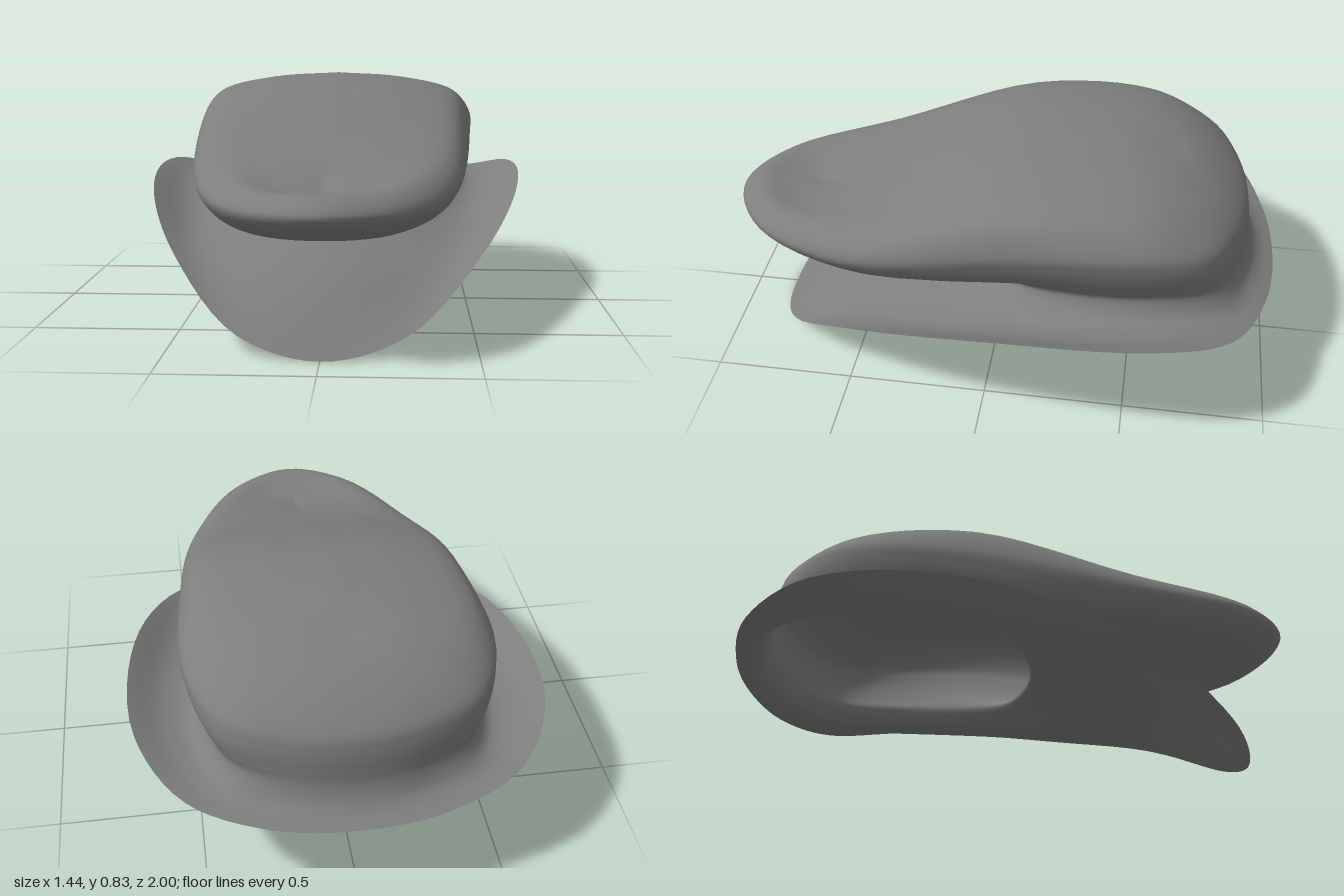
import * as THREE from 'three';
import { mergeVertices } from 'three/addons/utils/BufferGeometryUtils.js';

// Each loop is a half outline [x, y, z] from front centre round the left side to back centre.

// Brim, from its free edge inwards to the neck of the hood
const brimLoops = [
  [[0, 0, 0.85], [0.265, 0.06, 0.785], [0.515, 0.255, 0.49], [0.69, 0.425, -0.04], [0.698, 0.46, -0.58], [0.55, 0.405, -0.845], [0.29, 0.368, -0.965], [0, 0.36, -1]],
  [[0, 0.22, 0.59], [0.26, 0.23, 0.51], [0.465, 0.28, 0.28], [0.585, 0.38, -0.18], [0.59, 0.42, -0.58], [0.46, 0.4, -0.82], [0.25, 0.385, -0.92], [0, 0.38, -0.955]],
  [[0, 0.35, 0.26], [0.23, 0.35, 0.2], [0.41, 0.35, 0.03], [0.495, 0.395, -0.26], [0.505, 0.42, -0.56], [0.41, 0.42, -0.8], [0.21, 0.41, -0.895], [0, 0.41, -0.923]],
  [[0, 0.42, 0.065], [0.2, 0.425, 0.03], [0.37, 0.43, -0.08], [0.45, 0.455, -0.28], [0.465, 0.48, -0.55], [0.39, 0.475, -0.77], [0.21, 0.465, -0.87], [0, 0.46, -0.9]],
];

// Underside and side wall of the hood, from the neck out to the widest line
const wallLoops = [
  [[0, 0.445, 0.14], [0.21, 0.445, 0.1], [0.38, 0.455, -0.02], [0.465, 0.495, -0.26], [0.484, 0.525, -0.56], [0.402, 0.52, -0.768], [0.21, 0.51, -0.866], [0, 0.505, -0.894]],
  [[0, 0.36, 0.6], [0.21, 0.372, 0.54], [0.39, 0.415, 0.31], [0.488, 0.535, -0.17], [0.505, 0.585, -0.56], [0.415, 0.565, -0.765], [0.213, 0.555, -0.863], [0, 0.55, -0.891]],
  [[0, 0.4, 0.91], [0.225, 0.4, 0.81], [0.415, 0.435, 0.46], [0.505, 0.585, -0.11], [0.515, 0.635, -0.55], [0.418, 0.605, -0.759], [0.213, 0.595, -0.857], [0, 0.59, -0.885]],
  [[0, 0.475, 1], [0.245, 0.472, 0.88], [0.43, 0.495, 0.52], [0.51, 0.64, -0.07], [0.513, 0.685, -0.53], [0.41, 0.655, -0.745], [0.21, 0.64, -0.842], [0, 0.635, -0.87]],
];

// Top of the hood, closing onto a centre ridge
const topLoops = [
  [[0, 0.53, 0.93], [0.2, 0.527, 0.84], [0.385, 0.57, 0.47], [0.455, 0.742, -0.07], [0.44, 0.76, -0.51], [0.335, 0.728, -0.69], [0.18, 0.712, -0.77], [0, 0.707, -0.793]],
  [[0, 0.52, 0.82], [0.12, 0.52, 0.75], [0.22, 0.6, 0.43], [0.26, 0.79, -0.05], [0.25, 0.812, -0.47], [0.19, 0.79, -0.61], [0.1, 0.773, -0.67], [0, 0.77, -0.685]],
  [[0, 0.51, 0.7], [0, 0.517, 0.66], [0, 0.61, 0.41], [0, 0.803, -0.04], [0, 0.832, -0.41], [0, 0.815, -0.52], [0, 0.802, -0.57], [0, 0.796, -0.59]],
];

// Mirror a half outline and return a smooth closed loop
function closedLoop(half) {
  const left = half.map(p => new THREE.Vector3(...p));
  const right = left.slice(1, -1).reverse().map(p => new THREE.Vector3(-p.x, p.y, p.z));
  return new THREE.CatmullRomCurve3([...left, ...right], true);
}

// Skin a smooth surface through a series of closed loops
function loft(loops, around, across) {
  const curves = loops.map(closedLoop);
  const positions = [], index = [];
  for (let j = 0; j < around; j++) {
    const rib = new THREE.CatmullRomCurve3(curves.map(c => c.getPoint(j / around)));
    for (let i = 0; i <= across; i++) positions.push(...rib.getPoint(i / across).toArray());
  }
  const row = across + 1;
  for (let j = 0; j < around; j++) {
    const next = (j + 1) % around;
    for (let i = 0; i < across; i++) {
      const a = j * row + i, b = next * row + i;
      index.push(a, b, a + 1, b, b + 1, a + 1);
    }
  }
  let geometry = new THREE.BufferGeometry();
  geometry.setAttribute('position', new THREE.Float32BufferAttribute(positions, 3));
  geometry.setIndex(index);
  geometry = mergeVertices(geometry, 1e-4);
  geometry.computeVertexNormals();
  return geometry;
}

export function createModel() {
  const group = new THREE.Group();
  const material = new THREE.MeshStandardMaterial({ color: 0x7e7e7e, side: THREE.DoubleSide });

  // Hollow hood and brim in one continuous skin
  const shell = new THREE.Mesh(loft([...brimLoops, ...wallLoops, ...topLoops], 84, 70), material);
  shell.name = 'hoodWithBrim';
  group.add(shell);
  return group;
}
